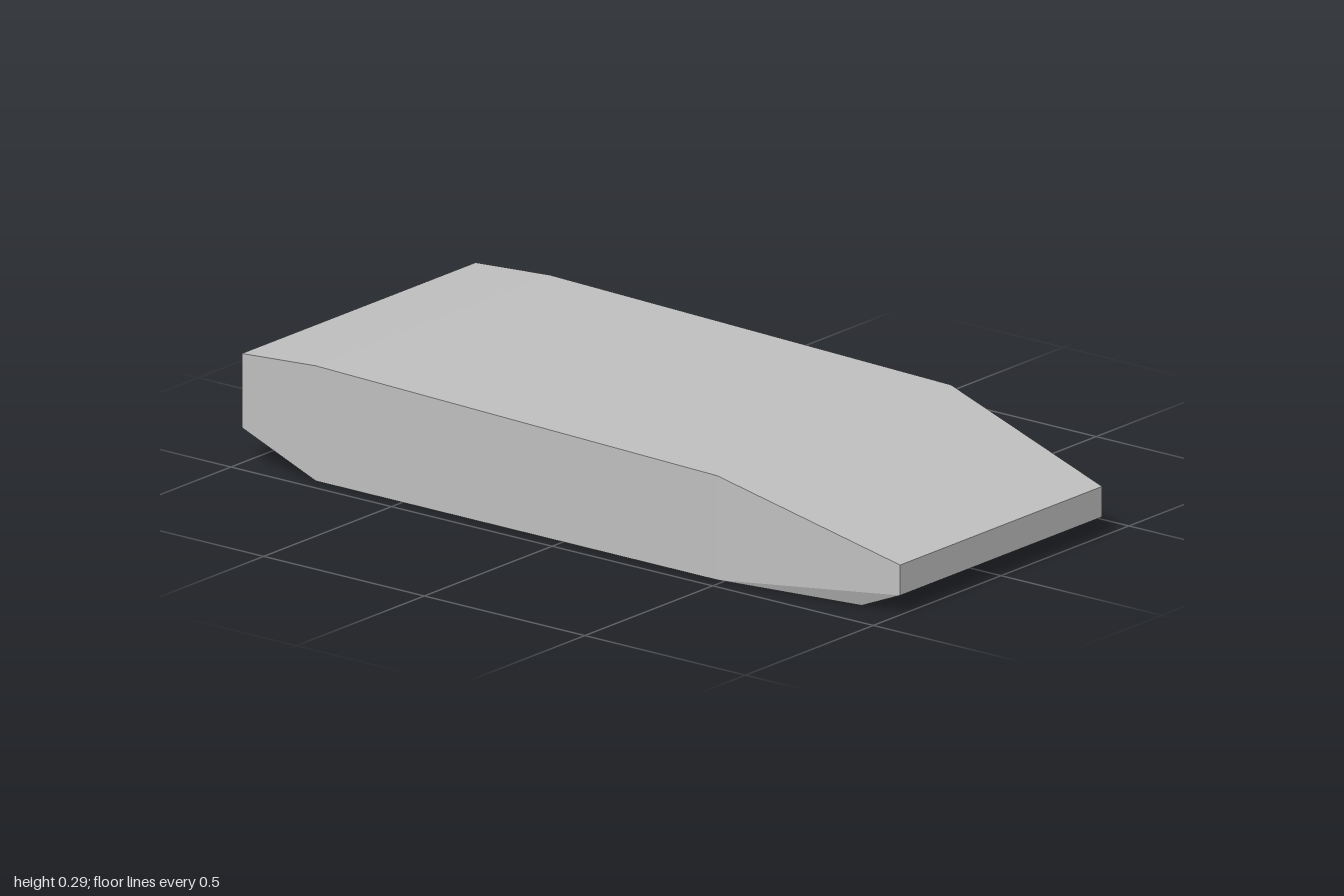
import * as THREE from 'three';
import { ConvexGeometry } from 'three/addons/geometries/ConvexGeometry.js';

export function createModel() {
  const group = new THREE.Group();
  group.name = 'wedgeHull';
  const grey = new THREE.MeshStandardMaterial({ color: 0xc0c0c0 });
  grey.name = 'light grey';

  // Side profile with half widths: [half width, y, z]
  const nose = 0.395, body = 0.457;
  const profile = [
    [nose, 0.05, 1], [nose, 0.128, 1],       // blunt nose
    [nose, 0, 0.88],                         // nose underside
    [body, 0, 0.48], [body, 0.267, 0.48],    // shoulder
    [body, 0, -0.77], [body, 0.295, -0.77],  // start of the tail
    [body, 0.09, -1], [body, 0.28, -1],      // tail end
  ];

  // Mirror the profile and wrap it in flat faces
  const points = profile.flatMap(([x, y, z]) =>
    [1, -1].map((side) => new THREE.Vector3(side * x, y, z)));
  const hull = new THREE.Mesh(new ConvexGeometry(points), grey);
  hull.name = 'hull';
  group.add(hull);
  return group;
}
